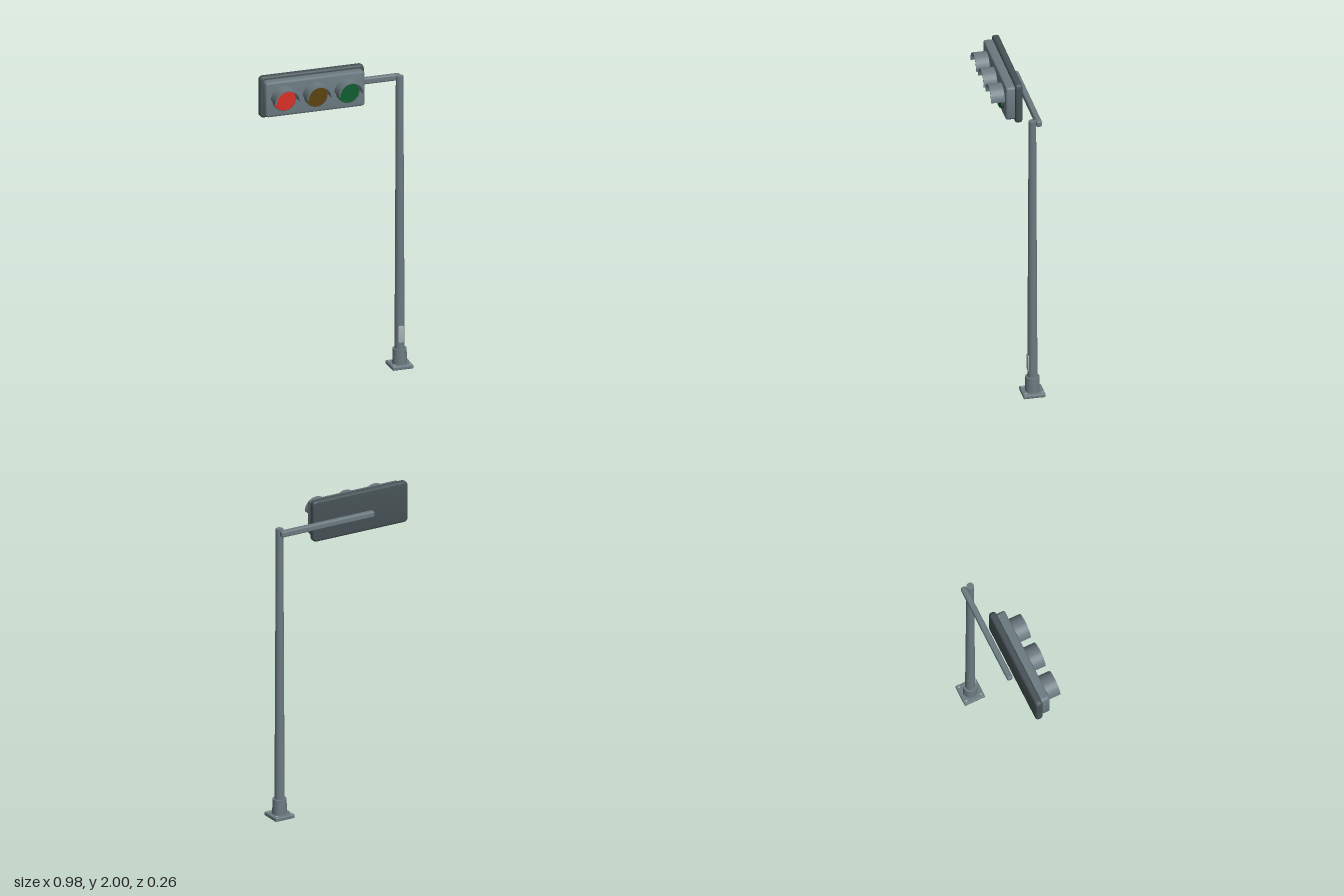
import * as THREE from 'three';
import { toCreasedNormals } from 'three/addons/utils/BufferGeometryUtils.js';
import { RoundedBoxGeometry } from 'three/addons/geometries/RoundedBoxGeometry.js';

const mat = (name, color) => {
  const m = new THREE.MeshStandardMaterial({ color });
  m.name = name;
  return m;
};

// Rounded rectangle slab with bevelled rims, spanning z0..z1
function slab(w, h, z0, z1, radius, bevel) {
  const x = w / 2 - bevel, y = h / 2 - bevel, r = radius;
  const s = new THREE.Shape();
  s.moveTo(-x + r, -y);
  s.lineTo(x - r, -y);
  s.absarc(x - r, -y + r, r, -Math.PI / 2, 0);
  s.absarc(x - r, y - r, r, 0, Math.PI / 2);
  s.absarc(-x + r, y - r, r, Math.PI / 2, Math.PI);
  s.absarc(-x + r, -y + r, r, Math.PI, Math.PI * 1.5);
  const g = new THREE.ExtrudeGeometry(s, {
    depth: z1 - z0 - 2 * bevel, bevelEnabled: true, bevelSize: bevel,
    bevelThickness: bevel, bevelSegments: 3, curveSegments: 5,
  });
  g.translate(0, 0, z0 + bevel);
  return toCreasedNormals(g, 0.6);
}

// Half-round hood: a half ring extruded forward
function hood(outer, inner, depth) {
  const s = new THREE.Shape();
  s.absarc(0, 0, outer, 0, Math.PI, false);
  s.absarc(0, 0, inner, Math.PI, 0, true);
  s.closePath();
  return toCreasedNormals(new THREE.ExtrudeGeometry(s, { depth, bevelEnabled: false, curveSegments: 24 }), 0.6);
}

export function createModel() {
  const model = new THREE.Group();
  model.name = 'trafficSignal';
  const steel = mat('steel grey', 0x6b7a80);
  const dark = mat('dark grey', 0x465256);
  const pale = mat('pale metal', 0xa3b0b2);
  const lensMats = [mat('red', 0xd93025), mat('dim amber', 0x5c430f), mat('green', 0x0f5c30)];

  const add = (parent, name, geo, material, x = 0, y = 0, z = 0) => {
    const m = new THREE.Mesh(geo, material);
    m.name = name;
    m.position.set(x, y, z);
    parent.add(m);
    return m;
  };

  // Post: base plate, bolts, collar and tapered pole
  const post = new THREE.Group();
  post.name = 'post';
  post.position.set(0.422, 0, -0.061);
  model.add(post);
  add(post, 'basePlate', new RoundedBoxGeometry(0.136, 0.024, 0.136, 2, 0.006), steel, 0, 0.012, 0);
  for (const sx of [-1, 1]) for (const sz of [-1, 1])
    add(post, 'bolt', new THREE.CylinderGeometry(0.007, 0.007, 0.008, 6), pale, sx * 0.05, 0.026, sz * 0.05);
  add(post, 'collar', new THREE.CylinderGeometry(0.043, 0.045, 0.1, 24), steel, 0, 0.07, 0);
  add(post, 'pole', new THREE.CylinderGeometry(0.023, 0.031, 1.78, 24), steel, 0, 0.99, 0);
  add(post, 'accessCover', slab(0.036, 0.11, 0.022, 0.0315, 0.008, 0.002), pale, 0, 0.216, 0);

  // Horizontal arm behind the signal head
  add(model, 'arm', new RoundedBoxGeometry(0.656, 0.04, 0.036, 3, 0.01), steel, 0.11, 1.86, -0.101);

  // Signal head: back panel, housing, three hooded lenses
  const head = new THREE.Group();
  head.name = 'signalHead';
  head.position.set(-0.155, 1.867, 0);
  model.add(head);
  add(head, 'backPanel', slab(0.67, 0.266, -0.057, -0.013, 0.012, 0.014), dark);
  add(head, 'housing', slab(0.638, 0.226, -0.02, 0.043, 0.01, 0.012), steel);
  ['red', 'amber', 'green'].forEach((name, i) => {
    const lamp = new THREE.Group();
    lamp.name = name + 'Lamp';
    lamp.position.x = (i - 1) * 0.204;
    head.add(lamp);
    const bezel = new THREE.CylinderGeometry(0.073, 0.073, 0.022, 36).rotateX(Math.PI / 2);
    add(lamp, 'bezel', bezel, dark, 0, 0, 0.05);
    const lens = new THREE.CylinderGeometry(0.069, 0.069, 0.008, 36).rotateX(Math.PI / 2);
    add(lamp, 'lens', lens, lensMats[i], 0, 0, 0.061);
    add(lamp, 'hood', hood(0.081, 0.073, 0.09), steel, 0, 0, 0.038);
  });
  return model;
}
